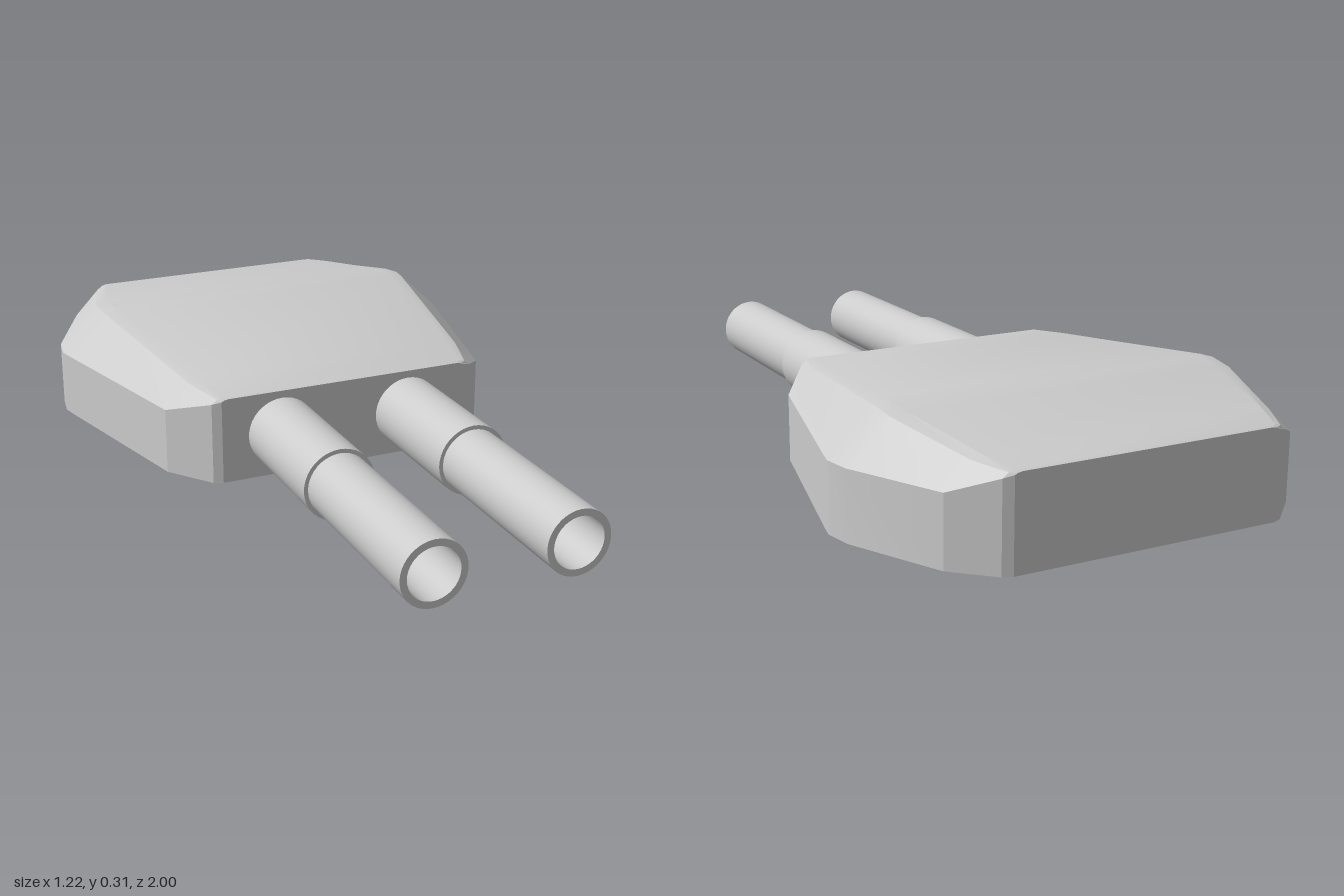
import * as THREE from 'three';
import { toCreasedNormals } from 'three/addons/utils/BufferGeometryUtils.js';

const material = new THREE.MeshStandardMaterial({ color: 0xcccccc });

// Cross-sections from front to back:
// z, wall half width, wall top, chamfer top (x, y), roof edge (x, y)
const SECTIONS = [
  [0.11, 0.36, 0.233, 0.352, 0.237, 0.34, 0.239],
  [0.1, 0.385, 0.226, 0.37, 0.238, 0.355, 0.242],
  [-0.02, 0.475, 0.182, 0.405, 0.247, 0.38, 0.254],
  [-0.53, 0.6, 0.182, 0.483, 0.294, 0.445, 0.302],
  [-0.575, 0.61, 0.182, 0.487, 0.296, 0.45, 0.305],
  [-0.65, 0.597, 0.182, 0.482, 0.287, 0.44, 0.294],
  [-0.9, 0.48, 0.182, 0.412, 0.246, 0.385, 0.256],
  [-0.99, 0.385, 0.226, 0.37, 0.238, 0.355, 0.242],
  [-1, 0.36, 0.233, 0.352, 0.237, 0.34, 0.239],
];

// Skin the mirrored cross-sections and cap both ends
function hullGeometry() {
  const rings = SECTIONS.map(([z, w, h, ax, ay, bx, by]) => {
    const half = [[w, 0], [w, h], [ax, ay], [bx, by]];
    const mirrored = half.map(([x, y]) => [-x, y]).reverse();
    return [...half, ...mirrored].map(([x, y]) => [x, y, z]);
  });
  const n = rings[0].length;
  const positions = [];
  const tri = (...corners) => corners.forEach((p) => positions.push(...p));
  for (let i = 0; i < rings.length - 1; i++) {
    for (let j = 0; j < n; j++) {
      const k = (j + 1) % n;
      const a = rings[i][j], b = rings[i][k], c = rings[i + 1][k], d = rings[i + 1][j];
      tri(a, d, b);
      tri(d, c, b);
    }
  }
  const front = rings[0], back = rings[rings.length - 1];
  for (let j = 1; j < n - 1; j++) {
    tri(front[0], front[j], front[j + 1]);
    tri(back[0], back[j + 1], back[j]);
  }
  const geometry = new THREE.BufferGeometry();
  geometry.setAttribute('position', new THREE.Float32BufferAttribute(positions, 3));
  return toCreasedNormals(geometry, 0.3);
}

// Turned part along +z from [radius, z] pairs
function turned(profile) {
  const points = profile.map(([r, z]) => new THREE.Vector2(r, z));
  const geometry = new THREE.LatheGeometry(points, 40);
  geometry.rotateX(Math.PI / 2);
  return toCreasedNormals(geometry, 0.6);
}

export function createModel() {
  const model = new THREE.Group();
  model.name = 'twinGunTurret';
  const add = (parent, name, geometry) => {
    const mesh = new THREE.Mesh(geometry, material);
    mesh.name = name;
    parent.add(mesh);
  };

  add(model, 'turretHull', hullGeometry());

  // Each gun is a stepped sleeve with a hollow barrel
  const sleeve = turned([[0.097, 0.05], [0.097, 0.488], [0.08, 0.488]]);
  const barrel = turned([[0.086, 0.45], [0.086, 1], [0.068, 1], [0.068, 0.5], [0, 0.5]]);
  for (const side of [1, -1]) {
    const gun = new THREE.Group();
    gun.name = side > 0 ? 'leftGun' : 'rightGun';
    gun.position.set(side * 0.188, 0.122, 0);
    add(gun, 'sleeve', sleeve);
    add(gun, 'barrel', barrel);
    model.add(gun);
  }
  return model;
}
